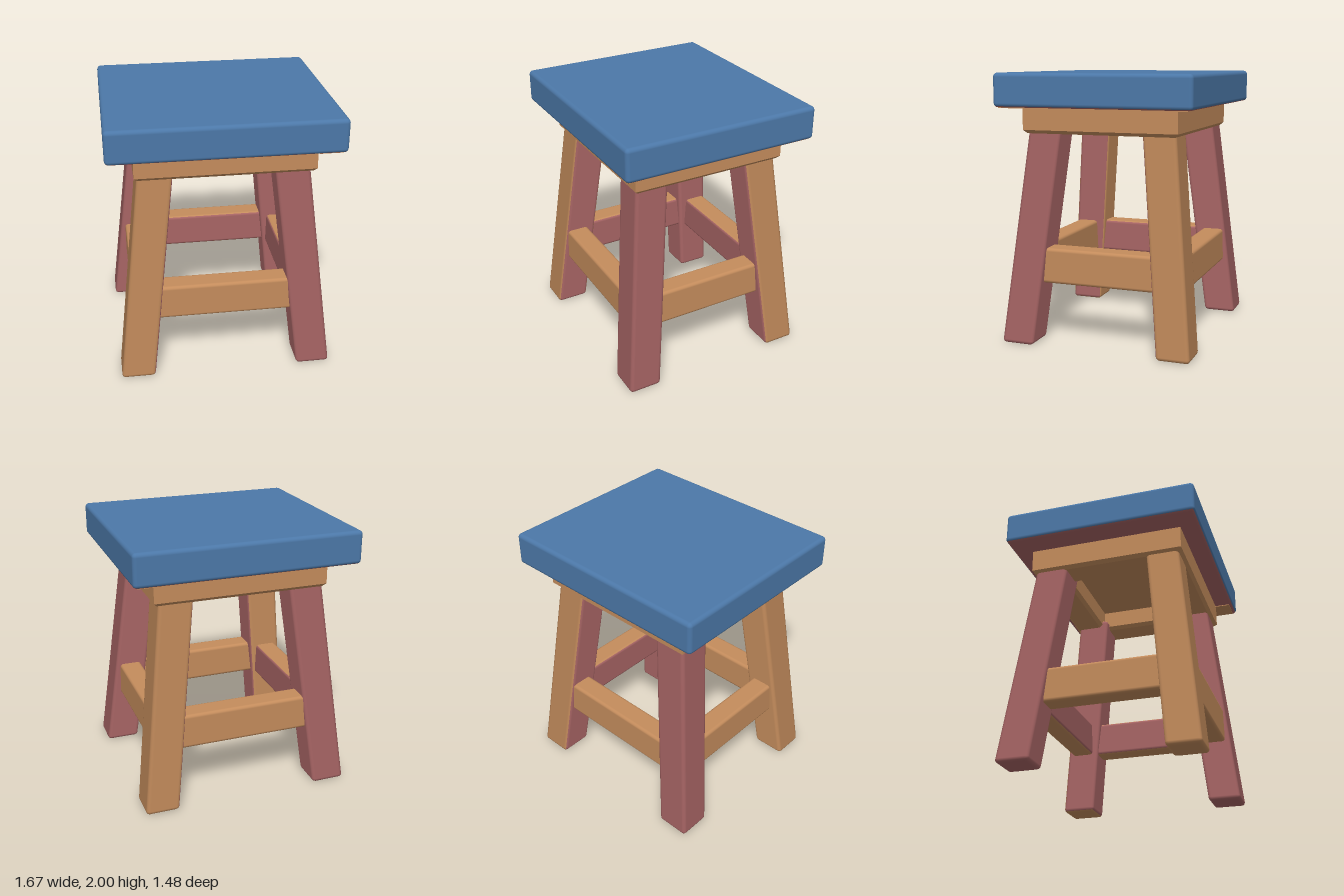
import * as THREE from 'three';
import { RoundedBoxGeometry } from 'three/addons/geometries/RoundedBoxGeometry.js';

const mat = (name, color) => {
  const m = new THREE.MeshStandardMaterial({ color });
  m.name = name;
  return m;
};

export function createModel() {
  const blue = mat('cushionBlue', 0x4c78a8);
  const tan = mat('woodTan', 0xc48c5c);
  const rose = mat('woodRose', 0xa86565);

  const stool = new THREE.Group();
  stool.name = 'stool';
  const add = (name, geometry, material, x = 0, y = 0, z = 0) => {
    const mesh = new THREE.Mesh(geometry, material);
    mesh.name = name;
    mesh.position.set(x, y, z);
    stool.add(mesh);
    return mesh;
  };
  // material list in box face order: +x, -x, +y, -y, +z, -z
  const faces = (base, inner, ...sides) =>
    ['+x', '-x', '+y', '-y', '+z', '-z'].map((s) => (sides.includes(s) ? inner : base));

  // Cushioned seat with a wooden underside
  add('seat', new RoundedBoxGeometry(1.67, 0.245, 1.48, 3, 0.03), faces(blue, rose, '-y'), 0, 1.8775, 0);
  add('seatUndersideStrip', new THREE.BoxGeometry(0.17, 0.008, 1.42), tan, 0.72, 1.753, 0);

  // Apron: hollow frame with a softened lower edge, closed by a panel
  const rect = (Type, w, d) =>
    new Type([[-w, -d], [w, -d], [w, d], [-w, d]].map(([x, y]) => new THREE.Vector2(x, y)));
  const frame = rect(THREE.Shape, 0.625, 0.565);
  frame.holes.push(rect(THREE.Path, 0.44, 0.38));
  const apron = new THREE.ExtrudeGeometry(frame, {
    depth: 0.17, bevelEnabled: true, bevelSize: 0.025, bevelThickness: 0.025, bevelSegments: 1,
  });
  apron.rotateX(-Math.PI / 2);
  add('apron', apron, tan, 0.01, 1.585, 0);
  add('innerPanel', new THREE.BoxGeometry(1.0, 0.03, 0.9), tan, 0.01, 1.735, 0);

  // Splayed legs, alternating in colour around the stool
  const legHeight = 1.62;
  const legs = [
    ['frontLeftLeg', 1, 1, faces(rose, rose)],
    ['backRightLeg', -1, -1, faces(rose, rose)],
    ['frontRightLeg', -1, 1, faces(tan, rose, '+x')],
    ['backLeftLeg', 1, -1, faces(tan, rose, '-x', '+z')],
  ];
  for (const [name, sx, sz, materials] of legs) {
    const g = new RoundedBoxGeometry(0.255, legHeight, 0.25, 2, 0.028);
    g.translate(0, legHeight / 2, 0);
    const p = g.attributes.position;
    for (let i = 0; i < p.count; i++) {
      const y = p.getY(i);
      p.setX(i, p.getX(i) + sx * (0.672 - 0.114 * y));
      p.setZ(i, p.getZ(i) + sz * (0.603 - 0.104 * y));
    }
    add(name, g, materials);
  }

  // Stretchers between the legs
  const railY = 0.588, railH = 0.265, railT = 0.17;
  const across = () => new RoundedBoxGeometry(1.14, railH, railT, 2, 0.025);
  const along = () => new RoundedBoxGeometry(railT, railH, 1.02, 2, 0.025);
  add('frontStretcher', across(), tan, 0, railY, 0.555);
  add('backStretcher', across(), faces(tan, rose, '+z'), 0, railY, -0.555);
  add('leftStretcher', along(), faces(tan, rose, '-x'), 0.6, railY, 0);
  add('rightStretcher', along(), faces(tan, rose, '+x'), -0.6, railY, 0);

  return stool;
}
